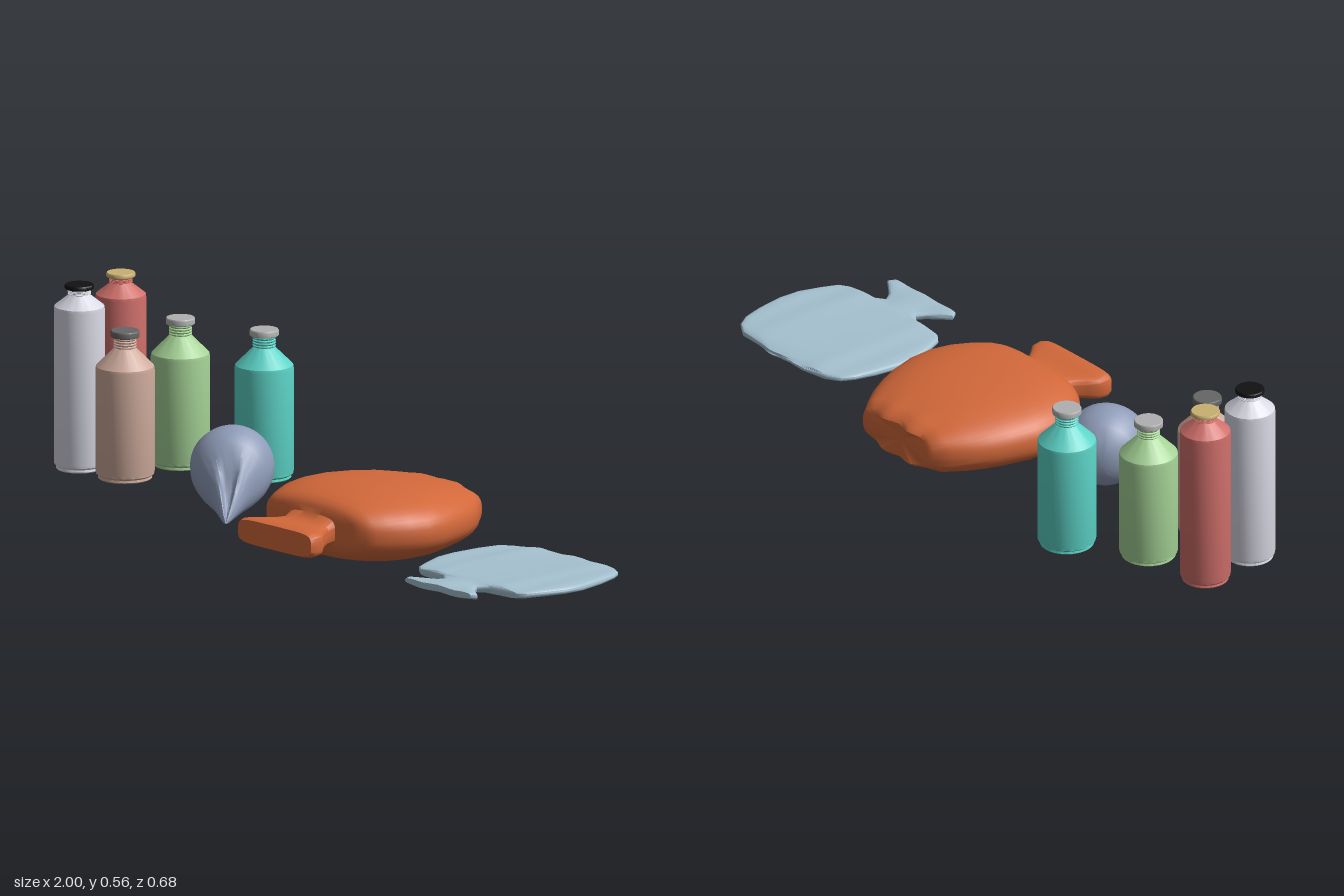
import * as THREE from 'three';
import { toCreasedNormals } from 'three/addons/utils/BufferGeometryUtils.js';

function paint(geo, color, name) {
  const m = new THREE.Mesh(geo, new THREE.MeshStandardMaterial({ color, side: THREE.DoubleSide }));
  m.name = name;
  return m;
}

// Skin over superellipse sections [z, halfWidth, top, bottom, exponent], z rising; adjust(p) may move each point
function loft(sections, sides, crease, adjust) {
  const pos = [], index = [], p = new THREE.Vector3();
  const power = (v, n) => Math.sign(v) * Math.pow(Math.abs(v), 2 / n);
  sections.forEach(([z, w, top, bottom, n = 2], i) => {
    for (let j = 0; j < sides; j++) {
      const a = j / sides * Math.PI * 2;
      p.set(w * power(Math.cos(a), n), (top + bottom) / 2 + (top - bottom) / 2 * power(Math.sin(a), n), z);
      if (adjust) adjust(p, a);
      pos.push(p.x, p.y, p.z);
      if (i < sections.length - 1) {
        const k = (j + 1) % sides, r = i * sides, s = r + sides;
        index.push(r + j, r + k, s + j, r + k, s + k, s + j);
      }
    }
  });
  const geo = new THREE.BufferGeometry();
  geo.setAttribute('position', new THREE.Float32BufferAttribute(pos, 3));
  geo.setIndex(index);
  return toCreasedNormals(geo, crease);
}

// Bottle with recessed foot, sloped shoulder, ringed neck and disc cap
function bottle({ name, x, z, r, base, shoulder, neck, top, capHeight, color, cap }) {
  const g = new THREE.Group();
  g.name = name;
  const nr = 0.028, capBase = top - capHeight, step = (capBase - neck) / 4;
  const profile = [[0, base + 0.006], [r * 0.8, base + 0.005], [r * 0.88, base], [r * 0.92, base + 0.003],
    [r * 0.9, base + 0.009], [r * 0.98, base + 0.014], [r, base + 0.022], [r, shoulder - 0.006],
    [r * 0.98, shoulder + 0.003], [nr + 0.005, neck - 0.005], [nr, neck]];
  for (let i = 0; i < 4; i++) {
    profile.push([nr + 0.003, neck + step * (i + 0.3)], [nr + 0.003, neck + step * (i + 0.6)], [nr, neck + step * (i + 0.9)]);
  }
  profile.push([nr, capBase + 0.002]);
  const body = new THREE.LatheGeometry(profile.map(q => new THREE.Vector2(...q)), 40);
  g.add(paint(toCreasedNormals(body, 0.6), color, 'bottleBody'));
  const lid = new THREE.LatheGeometry([[0, capBase], [0.037, capBase], [0.039, capBase + 0.002],
    [0.039, top - 0.003], [0.037, top], [0, top]].map(q => new THREE.Vector2(...q)), 32);
  g.add(paint(toCreasedNormals(lid, 0.6), cap, 'bottleCap'));
  g.position.set(x, 0, z);
  return g;
}

export function createModel() {
  const model = new THREE.Group();
  model.name = 'bottlesAndVessels';

  // Five bottles: two tall and slim, three shorter
  const tall = { r: 0.068, base: 0.05, shoulder: 0.493, neck: 0.528, top: 0.555, capHeight: 0.012 };
  const short = { r: 0.079, base: 0.055, shoulder: 0.36, neck: 0.413, top: 0.46, capHeight: 0.018 };
  [
    { ...tall, name: 'whiteBottle', x: -0.913, z: 0.045, color: 0xd8d8e4, cap: 0x111111 },
    { ...tall, name: 'redBottle', x: -0.932, z: -0.127, color: 0xcf6f6a, cap: 0xc8b070 },
    { ...short, name: 'tanBottle', x: -0.738, z: 0.045, color: 0xcdaa9b, cap: 0x666666 },
    { ...short, name: 'greenBottle', x: -0.738, z: -0.16, color: 0xa5d296, cap: 0xb0b0b0 },
    { ...short, name: 'tealBottle', x: -0.525, z: -0.264, color: 0x5cd2c6, cap: 0xb0b0b0,
      base: 0.041, shoulder: 0.348, neck: 0.4, top: 0.448 },
  ].forEach(b => model.add(bottle(b)));

  // Pointed droplet, with a groove along the top of its spout
  const drop = loft([
    [-0.113, 0, 0.15, 0.15], [-0.108, 0.033, 0.19, 0.115], [-0.095, 0.062, 0.22, 0.09], [-0.07, 0.09, 0.247, 0.068],
    [-0.035, 0.108, 0.264, 0.054], [0, 0.113, 0.27, 0.048], [0.035, 0.109, 0.262, 0.046], [0.065, 0.095, 0.242, 0.045],
    [0.09, 0.075, 0.214, 0.045], [0.11, 0.058, 0.188, 0.045], [0.13, 0.046, 0.162, 0.045], [0.155, 0.034, 0.134, 0.046],
    [0.18, 0.023, 0.107, 0.048], [0.205, 0.012, 0.08, 0.05], [0.228, 0, 0.056, 0.056],
  ], 48, 0.9, (p, a) => {
    const off = Math.abs(a - Math.PI / 2) / 0.55;
    if (p.z > 0.1 && p.z < 0.22 && off < 1) {
      p.y -= 0.05 * Math.min(1, (0.228 - p.z) / 0.06) * Math.min(1, (p.z - 0.09) / 0.03) * (1 - off * off);
    }
  });
  const droplet = paint(drop, 0x8f9cb8, 'droplet');
  droplet.position.set(-0.333, 0, 0.04);
  droplet.rotation.y = Math.atan2(0.66, 0.75);
  model.add(droplet);

  // Thick rounded flask with a flared neck and wavy rear edge
  const flask = loft([
    [-0.288, 0, 0.1, 0.09], [-0.292, 0.125, 0.14, 0.045, 3], [-0.282, 0.145, 0.152, 0.036, 2.8], [-0.25, 0.178, 0.164, 0.022, 2.6],
    [-0.2, 0.214, 0.175, 0.013, 2.5], [-0.15, 0.24, 0.186, 0.007, 2.4], [-0.1, 0.258, 0.193, 0.004, 2.4],
    [-0.03, 0.275, 0.199, 0, 2.4], [0.03, 0.276, 0.2, 0.001, 2.4], [0.08, 0.262, 0.199, 0.004, 2.4],
    [0.13, 0.235, 0.192, 0.013, 2.5], [0.165, 0.212, 0.184, 0.022, 2.6], [0.186, 0.19, 0.174, 0.036, 2.8],
    [0.197, 0.155, 0.16, 0.05, 3], [0.203, 0.09, 0.143, 0.062, 4], [0.225, 0.087, 0.13, 0.064, 4.5],
    [0.25, 0.1, 0.128, 0.064, 5], [0.275, 0.12, 0.129, 0.062, 5], [0.3, 0.142, 0.131, 0.06, 5],
    [0.325, 0.144, 0.134, 0.058, 5], [0.34, 0.139, 0.13, 0.064, 5], [0.34, 0, 0.1, 0.095],
  ], 56, 0.7, p => { if (p.z < -0.24) p.z += 0.006 * Math.cos(p.x * 65); });
  const thick = paint(flask, 0xd2683a, 'thickFlask');
  thick.position.x = 0.138;
  model.add(thick);

  // Thin flat version with gentle ripples
  const slab = loft([
    [-0.178, 0, 0.062, 0.058], [-0.178, 0.1, 0.066, 0.054, 4], [-0.164, 0.17, 0.07, 0.05, 4], [-0.145, 0.206, 0.072, 0.049, 4],
    [-0.11, 0.226, 0.074, 0.048, 4], [-0.05, 0.241, 0.075, 0.046, 4], [0.03, 0.252, 0.075, 0.045, 4],
    [0.09, 0.247, 0.075, 0.045, 4], [0.15, 0.226, 0.074, 0.045, 4], [0.195, 0.207, 0.074, 0.046, 4],
    [0.212, 0.185, 0.073, 0.048, 4], [0.219, 0.09, 0.072, 0.049, 4], [0.24, 0.062, 0.072, 0.049, 4],
    [0.265, 0.078, 0.073, 0.048, 4], [0.29, 0.11, 0.074, 0.048, 4], [0.308, 0.135, 0.075, 0.05, 4],
    [0.325, 0.125, 0.074, 0.056, 4], [0.327, 0, 0.066, 0.062],
  ], 64, 0.7, p => {
    p.y += 0.0015 * Math.cos(p.x * 55);
    if (p.z < -0.14) p.z += 0.004 * Math.cos(p.x * 45 + 2);
  });
  const flat = paint(slab, 0xa5c1d0, 'flatFlask');
  flat.position.x = 0.747;
  model.add(flat);

  return model;
}
